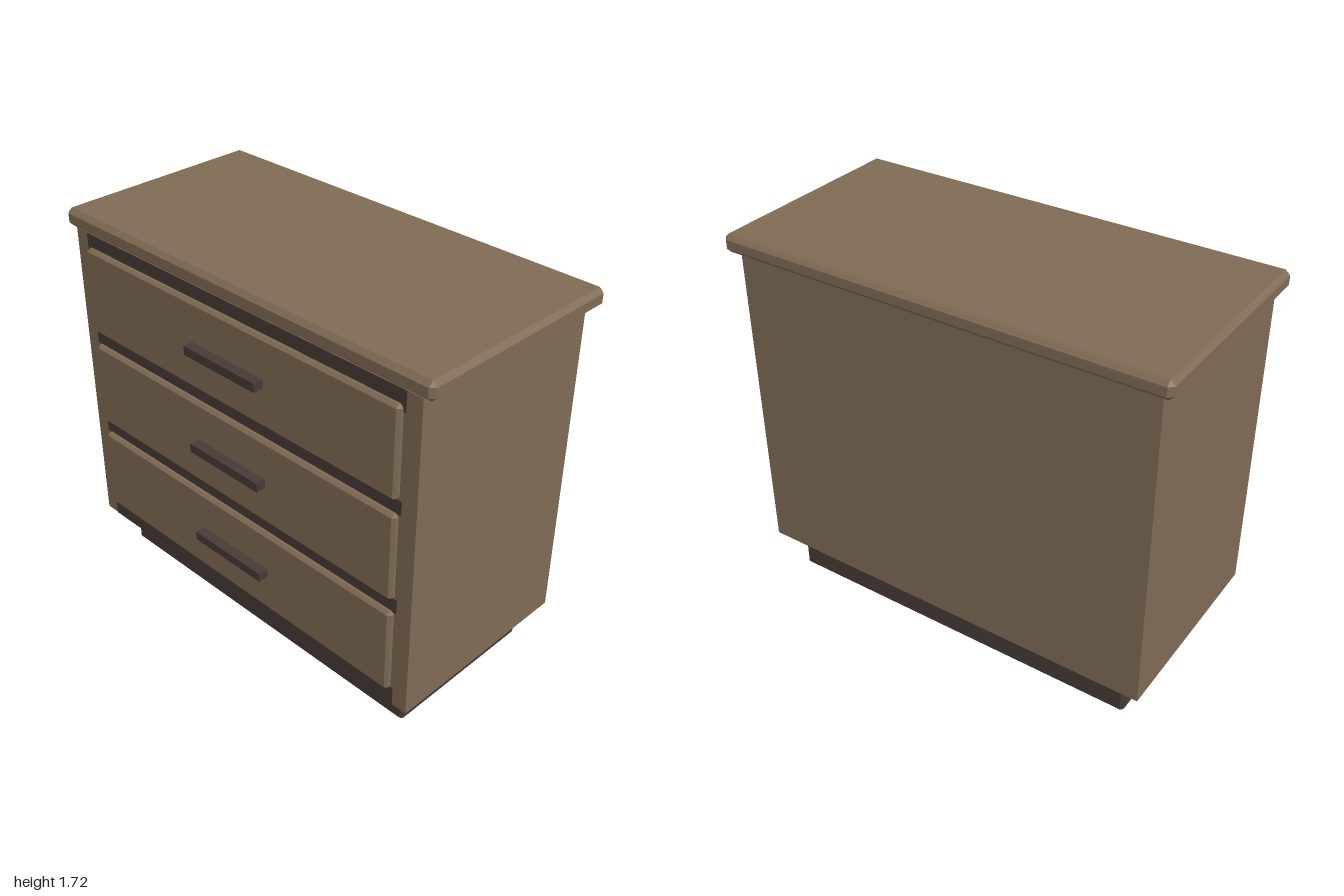
import * as THREE from 'three';
import { ConvexGeometry } from 'three/addons/geometries/ConvexGeometry.js';

// Box between two corners with every edge chamfered by c
function chamferBox(min, max, c) {
  const mid = min.map((v, i) => (v + max[i]) / 2);
  const half = min.map((v, i) => (max[i] - v) / 2);
  const points = [];
  for (const sx of [-1, 1]) for (const sy of [-1, 1]) for (const sz of [-1, 1]) {
    for (let axis = 0; axis < 3; axis++) {
      const p = [sx, sy, sz].map((s, i) => mid[i] + s * (half[i] - (i === axis ? 0 : c)));
      points.push(new THREE.Vector3(...p));
    }
  }
  return new ConvexGeometry(points);
}

// Plain box between two corners
function plainBox(min, max) {
  const size = min.map((v, i) => max[i] - v);
  return new THREE.BoxGeometry(...size)
    .translate(...min.map((v, i) => (v + max[i]) / 2));
}

export function createModel() {
  const group = new THREE.Group();
  const wood = new THREE.MeshStandardMaterial({ color: 0x7f6b55 });
  wood.name = 'brown wood';
  const dark = new THREE.MeshStandardMaterial({ color: 0x463a36 });
  dark.name = 'dark wood';

  const add = (name, geometry, material) => {
    const mesh = new THREE.Mesh(geometry, material);
    mesh.name = name;
    group.add(mesh);
  };

  // Recessed plinth, cabinet and overhanging top
  add('plinth', chamferBox([-0.855, 0, -0.4], [0.855, 0.187, 0.35], 0.013), dark);
  add('cabinet', plainBox([-0.95, 0.187, -0.47], [0.95, 1.637, 0.445]), wood);
  add('top', chamferBox([-1, 1.635, -0.515], [1, 1.715, 0.46], 0.02), wood);

  // Dark rails between the drawers
  for (const [bottom, top] of [[0.187, 0.275], [0.66, 0.725], [1.118, 1.18], [1.547, 1.635]]) {
    add('rail', plainBox([-0.88, bottom, 0.44], [0.88, top, 0.447]), dark);
  }

  // Three drawers with bar handles
  for (let i = 0; i < 3; i++) {
    const y = 0.465 + i * 0.457;
    add('drawer', chamferBox([-0.868, y - 0.198, 0.42], [0.868, y + 0.198, 0.47], 0.013), wood);
    add('handle', plainBox([-0.2, y - 0.02, 0.465], [0.2, y + 0.02, 0.515]), dark);
  }
  return group;
}
